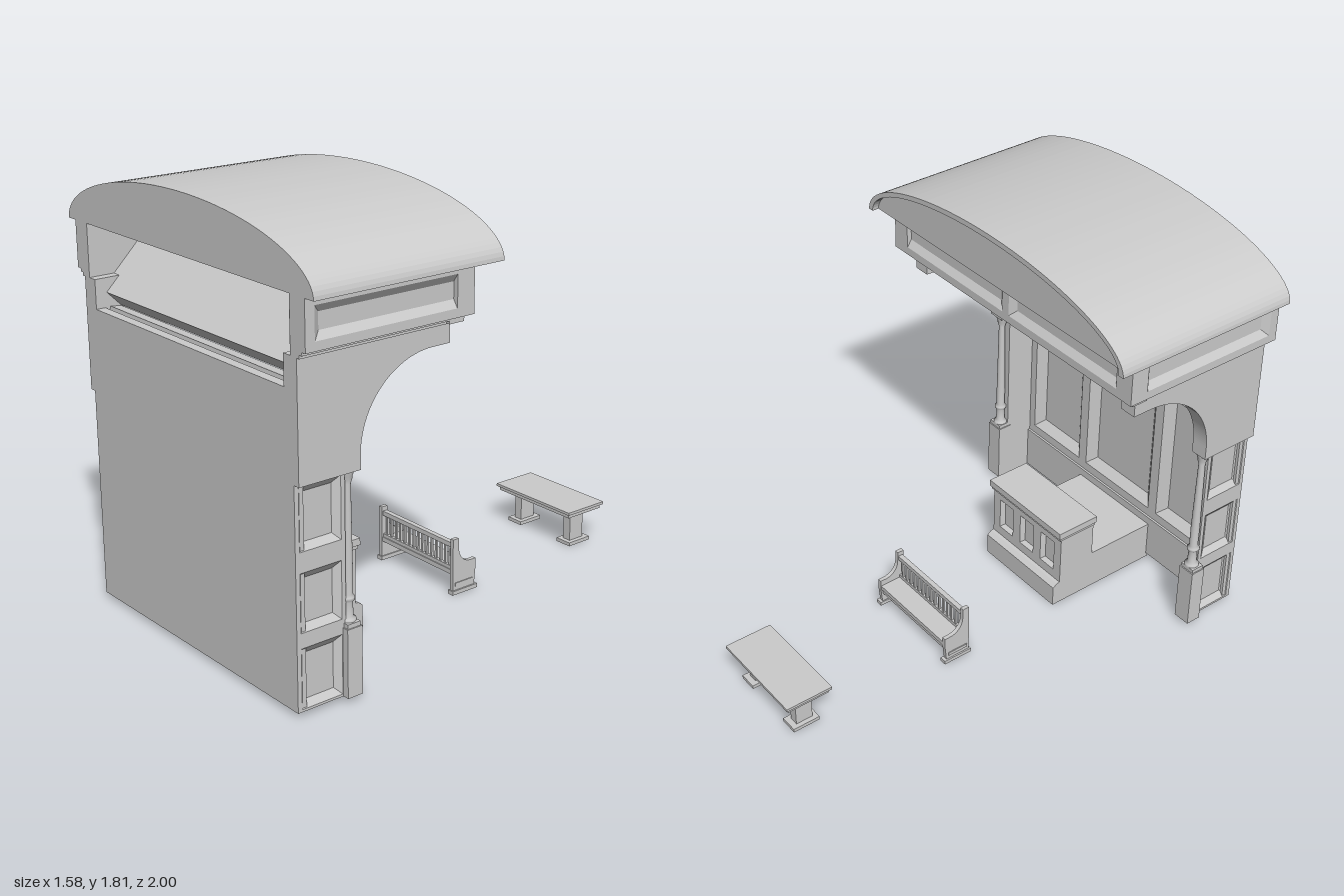
import * as THREE from 'three';
import { mergeGeometries } from 'three/addons/utils/BufferGeometryUtils.js';

const grey = new THREE.MeshStandardMaterial({ color: 0xcccccc, side: THREE.DoubleSide });

function add(parent, name, geometry) {
  const mesh = new THREE.Mesh(geometry, grey);
  mesh.name = name;
  parent.add(mesh);
  return mesh;
}

// box given by its limits
function box(parent, name, x0, x1, y0, y1, z0, z1) {
  const g = new THREE.BoxGeometry(x1 - x0, y1 - y0, z1 - z0);
  g.translate((x0 + x1) / 2, (y0 + y1) / 2, (z0 + z1) / 2);
  return add(parent, name, g);
}

// shape drawn in (z, y), extruded from x0 to x1
function sideExtrude(parent, name, shape, x0, x1) {
  const g = new THREE.ExtrudeGeometry(shape, { depth: x1 - x0, bevelEnabled: false, curveSegments: 24 });
  g.rotateY(-Math.PI / 2).translate(x1, 0, 0);
  return add(parent, name, g);
}

// slab (x centred, y from 0 to h, front at z = t) with bevelled recesses [x0, y0, x1, y1]
function panelled(parent, name, w, h, t, holes, bevel, depth) {
  const shape = new THREE.Shape([[-w / 2, 0], [w / 2, 0], [w / 2, h], [-w / 2, h]].map(p => new THREE.Vector2(...p)));
  const pos = [];
  const quad = (a, b, c, d) => [a, b, c, a, c, d].forEach(p => pos.push(...p));
  for (const [x0, y0, x1, y1] of holes) {
    const ring = (i, z) => [[x0 + i, y0 + i, z], [x1 - i, y0 + i, z], [x1 - i, y1 - i, z], [x0 + i, y1 - i, z]];
    const o = ring(0, t), n = ring(bevel, t - depth);
    shape.holes.push(new THREE.Path(o.map(p => new THREE.Vector2(p[0], p[1])).reverse()));
    for (let i = 0; i < 4; i++) quad(o[i], o[(i + 1) % 4], n[(i + 1) % 4], n[i]);
    quad(...n);
  }
  const B = -0.001;
  quad([w / 2, 0, B], [-w / 2, 0, B], [-w / 2, h, B], [w / 2, h, B]);
  const inlay = new THREE.BufferGeometry();
  inlay.setAttribute('position', new THREE.Float32BufferAttribute(pos, 3));
  inlay.computeVertexNormals();
  const frame = new THREE.ExtrudeGeometry(shape, { depth: t, bevelEnabled: false });
  frame.deleteAttribute('uv');
  return add(parent, name, mergeGeometries([frame, inlay]));
}

// turn a panelled slab towards the room (-z), leaning forward by tilt
function faceRoom(mesh, y, z, tilt = 0) {
  mesh.rotation.set(-tilt, Math.PI, 0);
  mesh.position.set(0, y, z);
}

const arcY = (x, a, h) => 1.575 + h * Math.sqrt(Math.max(0, 1 - (x / a) ** 2));

// points along an elliptical arch from xa to xb
function arch(xa, xb, a, h, n = 48) {
  return Array.from({ length: n + 1 }, (_, i) => {
    const u = Math.acos(xa / a) + (Math.acos(xb / a) - Math.acos(xa / a)) * i / n;
    const x = a * Math.cos(u);
    return new THREE.Vector2(x, arcY(x, a, h));
  });
}

function buildRoof(root) {
  const roof = new THREE.Group();
  roof.name = 'roof';
  root.add(roof);
  const slice = (name, shape, z0, z1) => {
    const g = new THREE.ExtrudeGeometry(shape, { depth: z1 - z0, bevelEnabled: false });
    add(roof, name, g.translate(0, 0, z0));
  };
  const outer = () => new THREE.Shape(arch(0.79, -0.79, 0.79, 0.235));
  slice('roofVault', outer(), 0.215, 1.0);
  // gable layer with two curved recesses
  const gable = outer();
  for (const s of [1, -1]) {
    const top = arch(0.07, 0.66, 0.75, 0.185, 20).map(p => new THREE.Vector2(p.x * s, p.y));
    gable.holes.push(new THREE.Path([new THREE.Vector2(0.07 * s, 1.61), ...top, new THREE.Vector2(0.66 * s, 1.61)]));
  }
  slice('gable', gable, 0.185, 0.215);
  // projecting arched rim
  slice('roofRim', new THREE.Shape([...arch(0.79, -0.79, 0.79, 0.235), ...arch(-0.765, 0.765, 0.765, 0.212)]), 0.155, 0.185);
}

function buildCornice(root) {
  const g = new THREE.Group();
  g.name = 'cornice';
  root.add(g);
  const beam = panelled(g, 'corniceBeam', 1.48, 0.19, 0.08, [[-0.7, 0.035, -0.02, 0.16], [0.02, 0.035, 0.7, 0.16]], 0.03, 0.02);
  faceRoom(beam, 1.385, 0.33);
  box(g, 'beamMoulding', -0.72, 0.72, 1.36, 1.385, 0.28, 0.35);
  for (const s of [1, -1]) {
    const side = panelled(g, 'corniceSide', 0.75, 0.19, 0.085, [[-0.335, 0.035, 0.335, 0.16]], 0.03, 0.02);
    side.rotation.y = s * Math.PI / 2;
    side.position.set(s * 0.655, 1.385, 0.625);
    box(g, 'sideMoulding', s > 0 ? 0.655 : -0.72, s > 0 ? 0.72 : -0.655, 1.372, 1.385, 0.28, 1);
    box(g, 'lowerMoulding', s > 0 ? 0.655 : -0.705, s > 0 ? 0.705 : -0.655, 1.358, 1.372, 0.3, 1);
  }
}

function buildWall(root) {
  const g = new THREE.Group();
  g.name = 'backWall';
  root.add(g);
  box(g, 'wallCore', -0.66, 0.66, 0.02, 1.24, 0.96, 1.0).scale.x = 0.999;
  box(g, 'baseboard', -0.63, 0.63, 0.02, 0.22, 0.905, 0.97);
  const tall = [[-0.58, 0.04, -0.26, 0.69], [-0.21, 0.04, 0.21, 0.69], [0.26, 0.04, 0.58, 0.69]];
  faceRoom(panelled(g, 'wallPanels', 1.27, 0.72, 0.05, tall, 0.04, 0.035), 0.22, 0.965);
  box(g, 'wallRail', -0.63, 0.63, 0.92, 0.95, 0.895, 0.97);
  // coffered cove in three leaning rows
  const row = (y0, y1) => [-0.39, 0, 0.39].map(x => [x - 0.155, y0, x + 0.155, y1]);
  faceRoom(panelled(g, 'coveLower', 1.27, 0.295, 0.05, row(0.05, 0.25), 0.045, 0.04), 0.95, 0.975, 0.13);
  faceRoom(panelled(g, 'coveMiddle', 1.308, 0.354, 0.085, row(0.05, 0.3), 0.045, 0.045), 1.3, 0.95, Math.PI / 4);
  faceRoom(panelled(g, 'coveCeiling', 1.308, 0.4, 0.085, row(0.1, 0.33), 0.045, 0.045), 1.574, 0.69, Math.PI / 2);
}

function buildSides(root) {
  const bracket = new THREE.Shape();
  bracket.moveTo(1, 0.895);
  bracket.lineTo(1, 1.36);
  bracket.lineTo(0.32, 1.36);
  bracket.lineTo(0.32, 1.28);
  bracket.lineTo(0.4, 1.28);
  bracket.absellipse(0.4, 0.95, 0.33, 0.33, Math.PI / 2, 0, true);
  bracket.lineTo(0.73, 0.895);
  const profile = [[0.03, 0.31], [0.03, 0.322], [0.02, 0.33], [0.018, 0.385], [0.026, 0.395], [0.026, 0.405], [0.018, 0.415],
    [0.019, 0.5], [0.014, 0.84], [0.02, 0.86], [0.02, 0.87], [0.026, 0.885], [0.026, 0.897]].map(p => new THREE.Vector2(...p));
  for (const s of [1, -1]) {
    const g = new THREE.Group();
    g.name = s > 0 ? 'leftSide' : 'rightSide';
    root.add(g);
    const span = (a, b) => s > 0 ? [a, b] : [-b, -a];
    sideExtrude(g, 'bracket', bracket, ...span(0.615, 0.69));
    const holes = [[0.01, 0.25], [0.31, 0.54], [0.62, 0.865]].map(([a, b]) => [-0.092, a, 0.092, b]);
    const side = panelled(g, 'sidePanels', 0.22, 0.875, 0.045, holes, 0.028, 0.02);
    side.rotation.y = s * Math.PI / 2;
    side.position.set(s * 0.617, 0.02, 0.89);
    box(g, 'pedestal', ...span(0.612, 0.69), 0.02, 0.295, 0.727, 0.795);
    box(g, 'pedestalCap', ...span(0.617, 0.685), 0.295, 0.312, 0.732, 0.79);
    add(g, 'column', new THREE.LatheGeometry(profile, 20)).position.set(s * 0.648, 0, 0.76);
  }
}

function buildCounter(root) {
  const g = new THREE.Group();
  g.name = 'counter';
  root.add(g);
  const body = new THREE.Shape([[0.915, 0], [0.915, 0.185], [0.575, 0.185], [0.575, 0.35], [0.42, 0.35], [0.42, 0.115], [0.38, 0.11],
    [0.36, 0.095], [0.36, 0]].map(p => new THREE.Vector2(...p)));
  sideExtrude(g, 'counterBody', body, -0.23, 0.23);
  const holes = [-0.14, 0, 0.14].map(x => [x - 0.045, 0.05, x + 0.045, 0.2]);
  faceRoom(panelled(g, 'counterFront', 0.46, 0.245, 0.03, holes, 0.012, 0.02), 0.105, 0.425);
  box(g, 'counterMoulding', -0.235, 0.235, 0.345, 0.36, 0.385, 0.578);
  box(g, 'counterTop', -0.24, 0.24, 0.36, 0.39, 0.378, 0.583);
}

function buildBench(root) {
  const g = new THREE.Group();
  g.name = 'bench';
  root.add(g);
  const end = new THREE.Shape();
  end.moveTo(-0.108, 0.015);
  end.lineTo(-0.108, 0.245);
  end.lineTo(-0.138, 0.245);
  end.lineTo(-0.14, 0.2);
  end.absellipse(-0.205, 0.2, 0.065, 0.068, 0, -Math.PI / 2, true);
  end.lineTo(-0.232, 0.132);
  end.lineTo(-0.232, 0.085);
  end.lineTo(-0.225, 0.015);
  for (const s of [1, -1]) {
    const span = (a, b) => s > 0 ? [a, b] : [-b, -a];
    sideExtrude(g, 'benchEnd', end, ...span(0.222, 0.24));
    box(g, 'benchFoot', ...span(0.216, 0.247), 0, 0.017, -0.238, -0.102);
    box(g, 'endMoulding', ...span(0.222, 0.244), 0.035, 0.05, -0.215, -0.12);
  }
  box(g, 'benchSeat', -0.23, 0.23, 0.085, 0.105, -0.23, -0.112);
  box(g, 'benchApron', -0.23, 0.23, 0.06, 0.085, -0.222, -0.212);
  box(g, 'benchTopRail', -0.23, 0.23, 0.205, 0.225, -0.136, -0.114);
  box(g, 'benchLowRail', -0.23, 0.23, 0.105, 0.12, -0.132, -0.116);
  for (let i = 0; i < 15; i++) {
    const x = -0.203 + i * 0.029;
    box(g, 'benchSlat', x - 0.005, x + 0.005, 0.115, 0.21, -0.13, -0.12);
  }
}

function buildTable(root) {
  const g = new THREE.Group();
  g.name = 'table';
  root.add(g);
  box(g, 'tableTop', -0.23, 0.23, 0.168, 0.18, -1, -0.787);
  box(g, 'tableApron', -0.22, 0.22, 0.15, 0.168, -0.99, -0.797);
  for (const s of [1, -1]) {
    box(g, 'tableLeg', s * 0.155 - 0.02, s * 0.155 + 0.02, 0.014, 0.15, -0.93, -0.853);
    box(g, 'tableFoot', s * 0.155 - 0.04, s * 0.155 + 0.04, 0, 0.016, -0.955, -0.832);
  }
}

export function createModel() {
  const root = new THREE.Group();
  root.name = 'alcoveWithFurniture';
  [buildRoof, buildCornice, buildWall, buildSides, buildCounter, buildBench, buildTable].forEach(build => build(root));
  return root;
}
